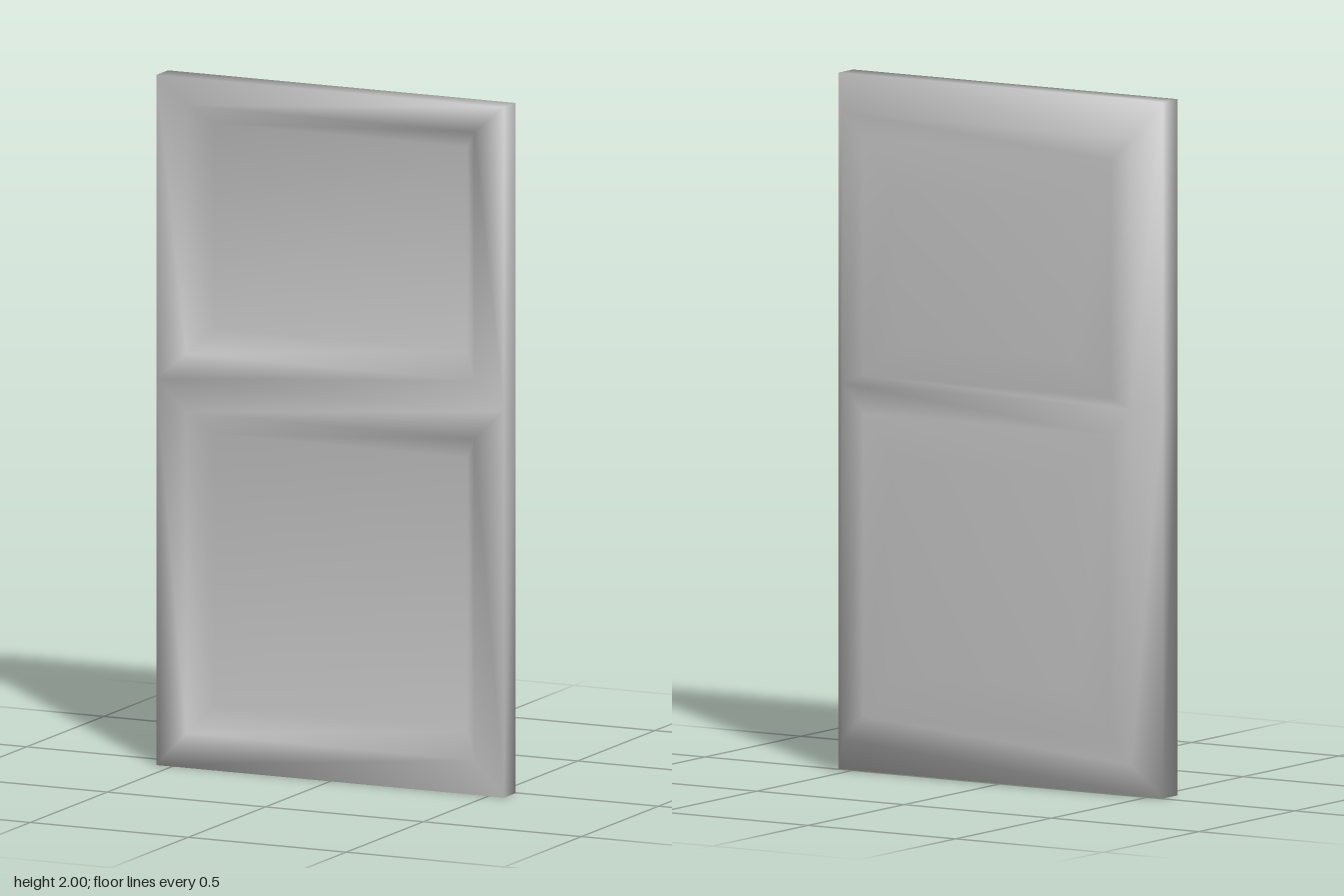
import * as THREE from 'three';
import { mergeVertices } from 'three/addons/utils/BufferGeometryUtils.js';

// Rectangle corners, counter-clockwise as seen from +z
const rect = (x, y0, y1, z) => [[-x, y0, z], [x, y0, z], [x, y1, z], [-x, y1, z]];

// Door outline with an extra point on each side at the middle rail
const MID = 1.12;
const outline = (x, y0, y1, z) => [
  [-x, y0, z], [x, y0, z], [x, MID, z], [x, y1, z], [-x, y1, z], [-x, MID, z],
];

export function createModel() {
  const positions = [];
  const quad = (a, b, c, d) => positions.push(...a, ...b, ...c, ...a, ...c, ...d);

  // Joins two loops of equal length with a band of quads
  const band = (a, b, flip = false) => a.forEach((p, i) => {
    const j = (i + 1) % a.length;
    if (flip) quad(p, b[i], b[j], a[j]);
    else quad(p, a[j], b[j], b[i]);
  });

  // Nested rectangles closed with a flat centre
  const panel = (rings, flip) => {
    for (let i = 0; i < rings.length - 1; i++) band(rings[i], rings[i + 1], flip);
    const last = rings[rings.length - 1];
    quad(...(flip ? [...last].reverse() : last));
  };

  // Front: two recessed panels with sloping borders
  panel([rect(0.55, 0, MID, 0.08), rect(0.455, 0.1, 1.03, 0.08), rect(0.4, 0.17, 0.96, 0.012)], false);
  panel([rect(0.55, MID, 2, 0.08), rect(0.455, 1.2, 1.92, 0.08), rect(0.4, 1.27, 1.86, 0.012)], false);

  // Back: two slightly raised panels
  panel([rect(0.49, 0.1, MID, -0.068), rect(0.42, 0.17, 1.04, -0.068), rect(0.3, 0.3, 0.92, -0.083)], true);
  panel([rect(0.49, MID, 1.9, -0.068), rect(0.42, 1.15, 1.83, -0.068), rect(0.3, 1.25, 1.7, -0.083)], true);

  // Edges: straight sides, then a chamfer towards the back
  const front = outline(0.55, 0, 2, 0.08);
  const middle = outline(0.55, 0, 2, 0.005);
  const back = outline(0.49, 0.1, 1.9, -0.068);
  band(front, middle, true);
  band(middle, back, true);

  // Shared vertices give the soft shading across the whole door
  const soup = new THREE.BufferGeometry();
  soup.setAttribute('position', new THREE.Float32BufferAttribute(positions, 3));
  const geometry = mergeVertices(soup, 1e-4);
  geometry.computeVertexNormals();

  const door = new THREE.Mesh(geometry, new THREE.MeshStandardMaterial({ color: 0xcccccc }));
  door.name = 'panelledDoor';
  const group = new THREE.Group();
  group.name = 'door';
  group.add(door);
  return group;
}
